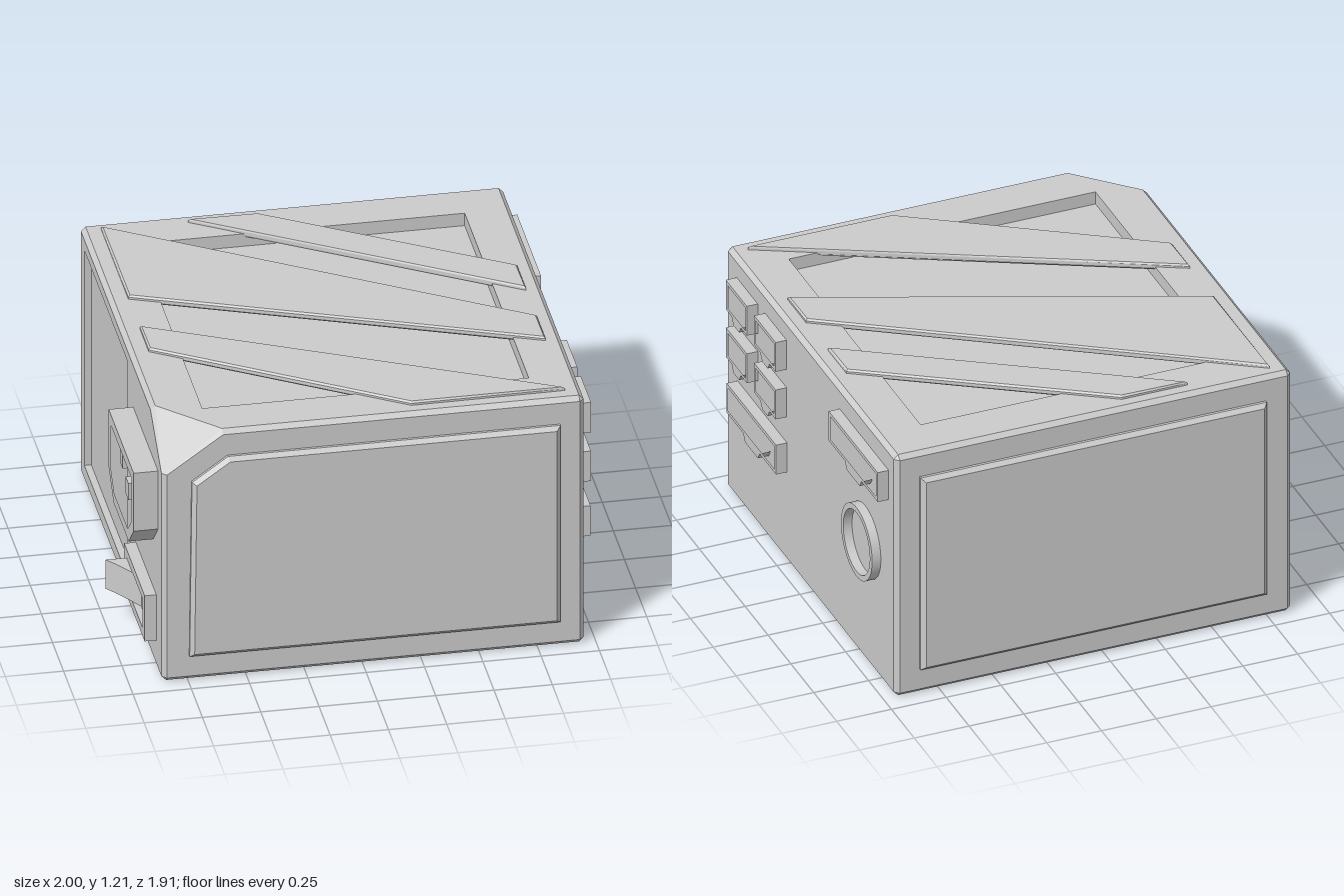
import * as THREE from 'three';
import { ConvexGeometry } from 'three/addons/geometries/ConvexGeometry.js';

const mat = new THREE.MeshStandardMaterial({ color: 0xcccccc, flatShading: true });
const smooth = new THREE.MeshStandardMaterial({ color: 0xcccccc });

// Body limits
const X0 = -0.86, X1 = 0.95, Y1 = 1.19, Z = 0.925, B = 0.02;

// Turn geometry drawn in the xy plane so that its +z points out of a face.
// Flat coordinates: left/right use (z, y), top uses (x, z), front/back use (x, y).
const FACES = {
  front: { at: [0, 0, Z], uv: (a, b) => [a, b], turn: g => g },
  back: { at: [0, 0, -Z], uv: (a, b) => [-a, b], turn: g => g.rotateY(Math.PI) },
  left: { at: [X1, 0, 0], uv: (a, b) => [-a, b], turn: g => g.rotateY(Math.PI / 2) },
  right: { at: [X0, 0, 0], uv: (a, b) => [a, b], turn: g => g.rotateY(-Math.PI / 2) },
  top: { at: [0, Y1, 0], uv: (a, b) => [a, -b], turn: g => g.rotateX(-Math.PI / 2) },
};
const rect = (a0, a1, b0, b1) => [[a0, b0], [a1, b0], [a1, b1], [a0, b1]];

function mesh(name, geometry, material = mat) {
  const m = new THREE.Mesh(geometry, material);
  m.name = name;
  return m;
}

function place(geometry, face) {
  return FACES[face].turn(geometry).translate(...FACES[face].at);
}

function makeShape(face, points, holes = []) {
  const vec = list => list.map(p => new THREE.Vector2(...FACES[face].uv(...p)));
  const shape = new THREE.Shape(vec(points));
  for (const h of holes) shape.holes.push(new THREE.Path(vec(h)));
  return shape;
}

// Extruded part on a face, running from height h0 to h1 above it
function slab(name, face, points, h0, h1, { holes = [], bevel = 0 } = {}) {
  const g = new THREE.ExtrudeGeometry(makeShape(face, points, holes), {
    depth: h1 - h0 - 2 * bevel, bevelEnabled: bevel > 0, bevelSize: bevel,
    bevelThickness: bevel, bevelOffset: -bevel, bevelSegments: 1,
  });
  g.translate(0, 0, h0 + bevel);
  return mesh(name, place(g, face));
}

// Face with a rectangular pocket sunk into it
function pocketFace(name, face, outline, [a0, a1, b0, b1], depth) {
  const group = new THREE.Group();
  group.name = name;
  const flat = new THREE.ShapeGeometry(makeShape(face, outline, [rect(a0, a1, b0, b1)]));
  group.add(mesh(name + 'Surface', place(flat, face)));
  // Inside-out box without its outer cap
  const box = new THREE.BoxGeometry(a1 - a0, b1 - b0, depth);
  const index = [...box.index.array];
  index.splice(24, 6);
  box.setIndex(index.reverse());
  const inner = box.toNonIndexed();
  inner.computeVertexNormals();
  inner.translate(...FACES[face].uv((a0 + a1) / 2, (b0 + b1) / 2), -depth / 2);
  group.add(mesh(name + 'Pocket', place(inner, face)));
  return group;
}

// Bevelled case with one front corner cut off
function buildCase() {
  const pts = [];
  for (const x of [X0, X1]) for (const y of [0, Y1]) for (const z of [-Z, Z]) {
    if (x === X0 && y === Y1 && z === Z) continue;
    const xi = x === X0 ? x + B : x - B, yi = y === 0 ? B : y - B, zi = z - Math.sign(z) * B;
    pts.push([x, yi, zi], [xi, y, zi], [xi, yi, z]);
  }
  pts.push([-0.60, Y1, Z - B], [X0 + B, Y1, 0.66], [-0.60, Y1 - B, Z],
    [X0 + B, 1.0, Z], [X0, Y1 - B, 0.66], [X0, 1.0, Z - B]);
  const hull = new ConvexGeometry(pts.map(p => new THREE.Vector3(...p)));
  // Leave out the top and right faces, which have pockets
  const p = hull.attributes.position, keep = [];
  for (let i = 0; i < p.count; i += 3) {
    const v = [0, 1, 2].map(k => new THREE.Vector3().fromBufferAttribute(p, i + k));
    if (v.every(q => q.y > Y1 - 1e-4) || v.every(q => q.x < X0 + 1e-4)) continue;
    v.forEach(q => keep.push(q.x, q.y, q.z));
  }
  const g = new THREE.BufferGeometry();
  g.setAttribute('position', new THREE.Float32BufferAttribute(keep, 3));
  g.computeVertexNormals();

  const group = new THREE.Group();
  group.name = 'case';
  group.add(mesh('caseShell', g));
  group.add(pocketFace('top', 'top', [[X0 + B, -Z + B], [X1 - B, -Z + B], [X1 - B, Z - B],
    [-0.60, Z - B], [X0 + B, 0.66]], [-0.65, 0.75, -0.72, 0.72], 0.06));
  group.add(pocketFace('rightSide', 'right', [[-Z + B, B], [Z - B, B], [Z - B, 1.0],
    [0.66, Y1 - B], [-Z + B, Y1 - B]], [-0.83, 0.14, 0.08, 1.12], 0.03));
  return group;
}

// Cable port: a rectangular frame with a latch tab below
function port(z0, z1, y0, y1, tab) {
  const m = (z0 + z1) / 2, t = tab / 2, w = 0.017;
  return slab('cablePort', 'left', [[z0, y0], [m - t, y0], [m - t + 0.02, y0 - 0.033],
    [m + t - 0.02, y0 - 0.033], [m + t, y0], [z1, y0], [z1, y1], [z0, y1]], -0.005, 0.05,
    { holes: [rect(z0 + w, z1 - w, y0 + w, y1 - w)] });
}

export function createModel() {
  const model = new THREE.Group();
  model.name = 'powerSupply';
  model.add(buildCase());

  // Raised panels on front and back
  model.add(slab('frontPanel', 'front', [[-0.745, 0.12], [0.845, 0.12], [0.845, 1.07],
    [-0.58, 1.07], [-0.735, 0.96]], -0.02, 0.03, { bevel: 0.018 }));
  model.add(slab('backPanel', 'back', rect(-0.74, 0.84, 0.12, 1.07), -0.02, 0.03, { bevel: 0.018 }));

  // Slanted bars over the top vent
  const bars = [
    [[-0.78, -0.87], [0.88, 0.22], [0.88, 0.42], [-0.78, -0.26]],
    [[-0.41, -0.86], [-0.11, -0.86], [0.88, -0.22], [0.88, -0.02]],
    [[-0.78, 0], [0.88, 0.855], [0.22, 0.86], [-0.78, 0.2]],
  ];
  for (const bar of bars) model.add(slab('topBar', 'top', bar, -0.015, 0.017, { bevel: 0.008 }));

  // Cable ports on the left side
  for (const y of [0.715, 0.95]) {
    model.add(port(0.58, 0.81, y, y + 0.145, 0.10));
    model.add(port(0.265, 0.50, y, y + 0.145, 0.10));
  }
  model.add(port(0.26, 0.80, 0.445, 0.59, 0.18));
  model.add(port(-0.85, -0.315, 0.94, 1.085, 0.18));

  // Round cable outlet
  const ring = new THREE.LatheGeometry([[0.145, 0], [0.145, 0.04], [0.145, 0.04], [0.17, 0.04],
    [0.17, 0.04], [0.17, 0]].map(q => new THREE.Vector2(...q)).reverse(), 48);
  smooth.side = THREE.DoubleSide;
  ring.rotateZ(-Math.PI / 2).translate(X1, 0.595, -0.595);
  model.add(mesh('roundOutlet', ring, smooth));

  // Mains socket with three pins
  const socket = new THREE.Group();
  socket.name = 'socket';
  const hexa = (i, c) => [[0.27 + i, 0.97 - i], [0.83 - i, 0.97 - i], [0.83 - i, 0.58 + c],
    [0.83 - c, 0.58 + i], [0.27 + c, 0.58 + i], [0.27 + i, 0.58 + c]];
  socket.add(slab('socketHousing', 'right', hexa(0, 0.11), -0.005, 0.105,
    { holes: [hexa(0.05, 0.13)] }));
  for (const [z, y] of [[0.42, 0.82], [0.55, 0.74], [0.69, 0.82]])
    socket.add(slab('socketPin', 'right', rect(z - 0.03, z + 0.03, y - 0.04, y + 0.04), -0.005, 0.08));
  model.add(socket);

  // Rocker switch: framed plate and a wedge key
  const rocker = new THREE.Group();
  rocker.name = 'powerSwitch';
  rocker.add(slab('switchFrame', 'right', rect(0.33, 0.79, 0.13, 0.35), -0.005, 0.05,
    { holes: [rect(0.38, 0.74, 0.17, 0.31)] }));
  const key = new THREE.ExtrudeGeometry(new THREE.Shape([[X0 + 0.005, -0.385], [-1.0, -0.385],
    [-0.965, -0.43], [-0.88, -0.56], [-0.89, -0.735], [X0 + 0.005, -0.735]]
    .map(q => new THREE.Vector2(...q)).reverse()), { depth: 0.14, bevelEnabled: false });
  key.rotateX(-Math.PI / 2).translate(0, 0.17, 0);
  rocker.add(mesh('switchKey', key));
  model.add(rocker);

  return model;
}
